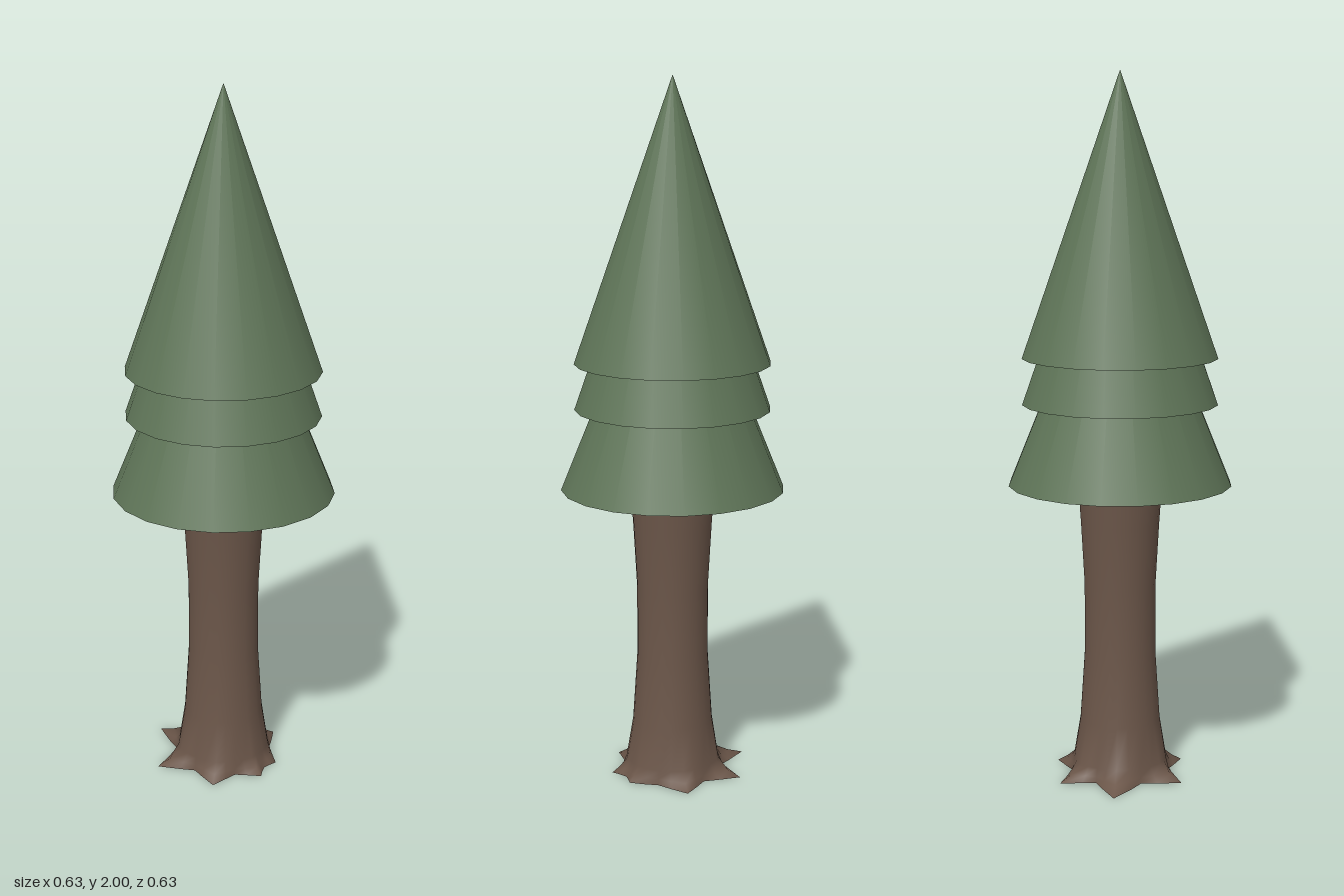
import * as THREE from 'three';

const green = new THREE.MeshStandardMaterial({ color: 0x5f7558 });
const brown = new THREE.MeshStandardMaterial({ color: 0x6b5649, side: THREE.DoubleSide });

// Root tips: [angle in degrees from +x towards +z, reach from the trunk axis]
const roots = [[11, 0.195], [71, 0.168], [101, 0.18], [148, 0.195], [205, 0.212], [265, 0.238], [315, 0.21]];
// Trunk profile: [height, radius, share of the root flare]
const profile = [
  [0, 0.135, 1], [0.018, 0.135, 0.5], [0.042, 0.133, 0.06], [0.16, 0.115, 0],
  [0.36, 0.102, 0], [0.56, 0.102, 0], [0.74, 0.112, 0], [0.87, 0.121, 0],
];

// Columns run around the trunk: tip, shoulder, valley, shoulder, next tip ...
function trunkColumns() {
  const columns = [];
  roots.forEach(([angle, reach], i) => {
    const [nextAngle, nextReach] = roots[(i + 1) % roots.length];
    const span = (nextAngle - angle + 360) % 360;
    const valley = span < 40 ? 0.152 : 0.138;
    const steps = [
      [0, reach],
      [0.25, valley + (reach - valley) * 0.35],
      [0.5, valley],
      [0.75, valley + (nextReach - valley) * 0.35],
    ];
    for (const [t, r] of steps) columns.push([THREE.MathUtils.degToRad(angle + span * t), r]);
  });
  return columns;
}

// Open tube of rings that flares into pointed roots at the ground
function makeTrunk() {
  const columns = trunkColumns();
  const n = columns.length;
  const positions = [];
  const index = [];
  profile.forEach(([y, radius, flare], row) => {
    columns.forEach(([a, reach], i) => {
      const r = radius + (reach - radius) * flare;
      positions.push(Math.cos(a) * r, y, Math.sin(a) * r);
      if (row === 0) return;
      const j = (i + 1) % n;
      const low = (row - 1) * n;
      const high = row * n;
      index.push(low + i, high + i, low + j, low + j, high + i, high + j);
    });
  });
  const geometry = new THREE.BufferGeometry();
  geometry.setAttribute('position', new THREE.Float32BufferAttribute(positions, 3));
  geometry.setIndex(index);
  geometry.computeVertexNormals();
  const trunk = new THREE.Mesh(geometry, brown);
  trunk.name = 'trunk';
  return trunk;
}

// Closed cone standing on its base height
function makeTier(name, base, radius, height) {
  const tier = new THREE.Mesh(new THREE.ConeGeometry(radius, height, 20), green);
  tier.position.y = base + height / 2;
  tier.name = name;
  return tier;
}

export function createModel() {
  const tree = new THREE.Group();
  tree.name = 'tree';
  tree.add(
    makeTrunk(),
    makeTier('lowerFoliage', 0.85, 0.317, 0.78),
    makeTier('middleFoliage', 1.08, 0.277, 0.79),
    makeTier('upperFoliage', 1.21, 0.277, 0.79),
  );
  return tree;
}
